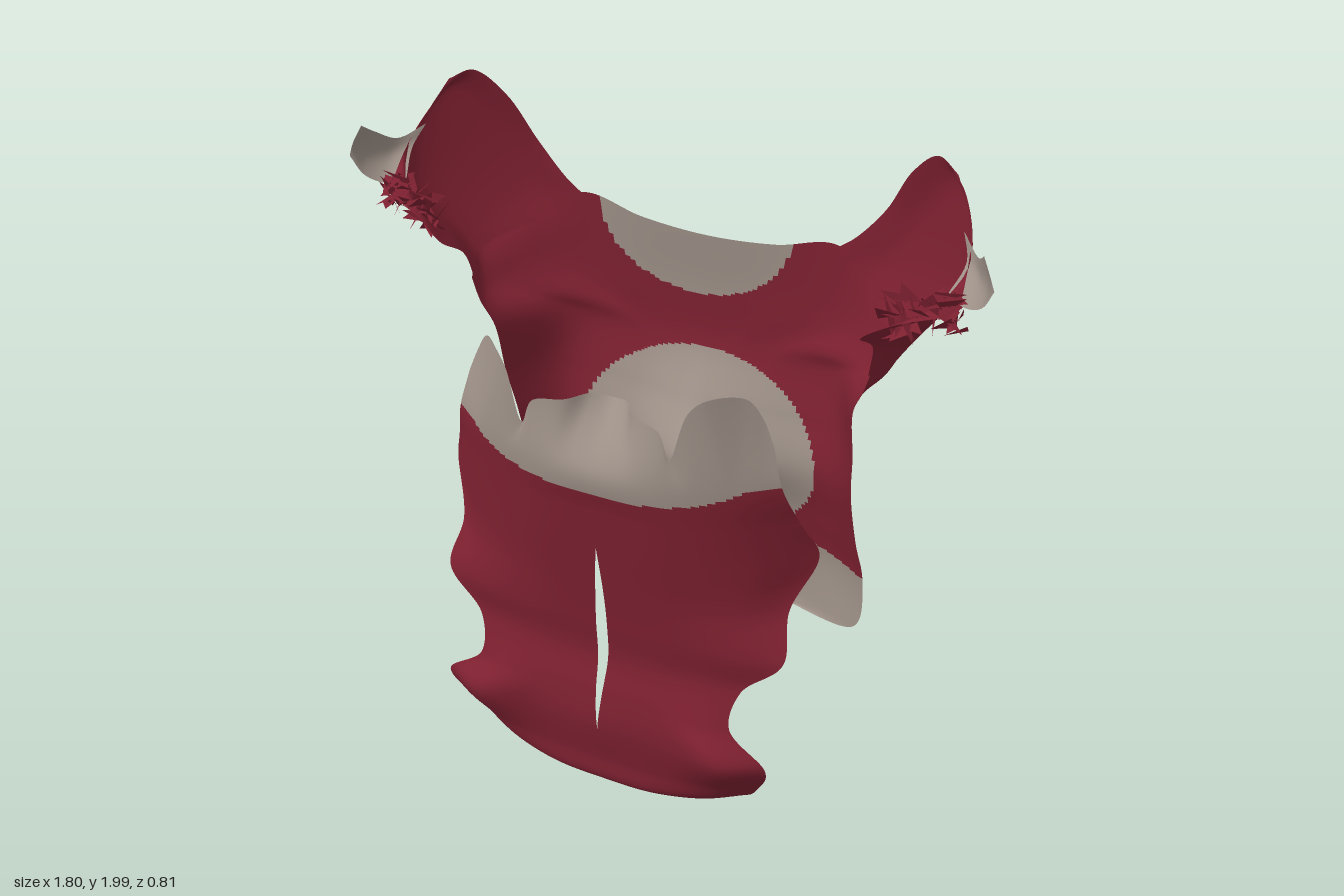
import * as THREE from 'three';

const cloth = new THREE.MeshStandardMaterial({ color: 0x7d2030, side: THREE.DoubleSide });
cloth.name = 'dark red';
const lining = new THREE.MeshStandardMaterial({ color: 0x9d9087, side: THREE.DoubleSide });
lining.name = 'warm grey';
const mats = [cloth, lining];

const curve = (pts) => new THREE.CatmullRomCurve3(pts);
const vec = ([x, y, z]) => new THREE.Vector3(x, y, z);

// Smooth open sheet through rows of points; paint(x, y) picks the material of each cell.
function sheet(name, rows, { side, nu, nv, mirrored = false, slit = () => 0, paint = () => 0 }) {
  const curves = rows.map((row) => {
    const pts = row.map(vec);
    if (!mirrored) return curve(pts);
    const other = row.slice(1).reverse().map(([x, y, z]) => vec([-x, y, z]));
    return curve([...other, ...pts]);
  });
  const pos = [];
  for (let i = 0; i <= nu; i++) {
    const u = i / nu;
    const column = curve(curves.map((c) => c.getPoint(mirrored ? 0.5 + u / 2 : u)));
    for (let j = 0; j <= nv; j++) {
      const p = column.getPoint(j / nv);
      pos.push(side * (p.x + slit(p.y) * (1 - u)), p.y, p.z);
    }
  }
  const faces = [[], []];
  for (let i = 0; i < nu; i++) {
    for (let j = 0; j < nv; j++) {
      const a = i * (nv + 1) + j, b = a + nv + 1;
      const quad = side > 0 ? [a, b, b + 1, a, b + 1, a + 1] : [a, b + 1, b, a, a + 1, b + 1];
      const x = (pos[3 * a] + pos[3 * b + 3]) / 2, y = (pos[3 * a + 1] + pos[3 * b + 4]) / 2;
      faces[paint(x, y)].push(...quad);
    }
  }
  const geo = new THREE.BufferGeometry();
  geo.setAttribute('position', new THREE.Float32BufferAttribute(pos, 3));
  geo.setIndex(faces.flat());
  geo.addGroup(0, faces[0].length, 0);
  geo.addGroup(faces[0].length, faces[1].length, 1);
  geo.computeVertexNormals();
  const mesh = new THREE.Mesh(geo, mats);
  mesh.name = name;
  return mesh;
}

// Front panel profile: height, half width, depth at centre, depth at edge, bulge between them
const frontProfile = [
  [0.01, 0.06, 0.14, 0.15],
  [0.06, 0.13, 0.15, 0.135],
  [0.09, 0.22, 0.2, 0.15],
  [0.16, 0.4, 0.355, 0.24],
  [0.25, 0.46, 0.365, 0.29, 0.01],
  [0.39, 0.5, 0.38, 0.35, 0.04],
  [0.49, 0.39, 0.365, 0.345, 0.01],
  [0.6, 0.405, 0.335, 0.31],
  [0.72, 0.515, 0.34, 0.285],
  [0.85, 0.5, 0.35, 0.22],
  [1, 0.55, 0.365, 0.15],
  [1.12, 0.51, 0.375, 0.195],
  [1.25, 0.47, 0.385, 0.24],
];
// Pleated collar edge, centre to side
const collarEdge = [
  [0, 1.4, 0.25], [0.05, 1.41, 0.27], [0.1, 1.41, 0.33], [0.18, 1.4, 0.355], [0.21, 1.33, 0.36],
  [0.255, 1.47, 0.35], [0.29, 1.505, 0.33], [0.37, 1.49, 0.25], [0.41, 1.43, 0.23], [0.44, 1.36, 0.23],
];
const frontRows = frontProfile.map(([y, w, zc, ze, bulge = 0]) =>
  [0, 0.4, 0.75, 1].map((s, i) => [w * s, y, zc + (ze - zc) * s ** 3 + (i === 2 ? bulge : 0)]));
frontRows.push(collarEdge);

// Back panel profile: height, rise towards the edge, half width, then depths from centre to edge
const backSteps = [0, 0.13, 0.38, 0.77, 1];
const backProfile = [
  [0.26, 0.04, 0.09, -0.4, -0.4, -0.4, -0.4, -0.4],
  [0.38, 0.02, 0.18, -0.4, -0.4, -0.395, -0.385, -0.37],
  [0.475, -0.005, 0.53, -0.385, -0.38, -0.37, -0.3, -0.25],
  [0.62, 0.03, 0.55, -0.355, -0.355, -0.35, -0.3, -0.24],
  [0.8, 0, 0.53, -0.27, -0.28, -0.305, -0.275, -0.21],
  [0.95, 0.05, 0.525, -0.15, -0.18, -0.245, -0.24, -0.15],
  [1.11, 0.04, 0.535, -0.255, -0.265, -0.285, -0.26, -0.11],
  [1.25, 0.07, 0.54, -0.33, -0.33, -0.325, -0.28, -0.07],
];
const backRows = backProfile.map(([y, rise, w, ...depths]) =>
  depths.map((z, i) => [w * backSteps[i], y + rise * backSteps[i] ** 2, z]));
// Chest line and neckline of the back
backRows.push(
  [[0, 1.42, -0.34], [0.2, 1.42, -0.335], [0.43, 1.43, -0.3], [0.59, 1.41, -0.16], [0.57, 1.4, -0.05]],
  [[0, 1.6, -0.33], [0.2, 1.615, -0.33], [0.38, 1.655, -0.325], [0.5, 1.58, -0.3], [0.635, 1.49, -0.17], [0.59, 1.47, -0.045]],
);

// Strap sections, neckline to front edge
const strapRows = [
  [[0.375, 1.645, -0.324], [0.49, 1.57, -0.3], [0.63, 1.475, -0.17], [0.58, 1.45, -0.05]],
  [[0.43, 1.69, -0.32], [0.54, 1.64, -0.3], [0.68, 1.55, -0.15], [0.595, 1.55, -0.025]],
  [[0.51, 1.79, -0.31], [0.61, 1.75, -0.28], [0.745, 1.65, -0.12], [0.6, 1.64, 0.09]],
  [[0.585, 1.93, -0.27], [0.67, 1.87, -0.25], [0.785, 1.73, -0.1], [0.68, 1.68, 0.06]],
  [[0.66, 2, -0.23], [0.73, 1.94, -0.21], [0.8, 1.81, -0.1], [0.76, 1.7, 0.03]],
  [[0.72, 1.975, -0.2], [0.775, 1.88, -0.16], [0.8, 1.8, -0.08], [0.81, 1.71, 0]],
];
// Upturned hook at the shoulder tip
const hookRows = [
  [[0.765, 1.86, -0.14], [0.79, 1.8, -0.1], [0.77, 1.74, -0.03]],
  [[0.82, 1.83, -0.08], [0.84, 1.78, -0.05], [0.82, 1.725, -0.01]],
  [[0.85, 1.865, -0.02], [0.875, 1.8, 0], [0.87, 1.75, 0.02]],
  [[0.86, 1.9, 0.03], [0.885, 1.85, 0.04], [0.9, 1.81, 0.04]],
];

// Lining regions
function paintFront(x, y) {
  const ax = Math.abs(x);
  return y > 1.18 + Math.min(0.07, 1.1 * ax ** 3) || (y < 0.085 && ax < 0.15) ? 1 : 0;
}
const inside = (x, y, cx, cy, rx, ry) => Math.hypot((x - cx) / rx, (y - cy) / ry) < 1;
function paintBack(x, y) {
  const ax = Math.abs(x);
  if (y < 0.33 || inside(ax, y, 0.08, 0.43, 0.018, 0.04)) return 0;
  if (y < 0.74 - 0.15 * ax || (y < 0.85 && ax < 0.31)) return 1;
  return inside(x, y, 0.01, 0.96, 0.37, 0.29) || inside(x, y, -0.04, 1.65, 0.29, 0.24) ? 1 : 0;
}
const frontSlit = (y) => (y > 0.37 && y < 1 ? 0.017 * Math.sin((Math.PI * (y - 0.37)) / 0.63) : 0);

// Ragged torn scraps under each shoulder
function scraps(side) {
  let seed = 7;
  const rnd = () => (seed = (seed * 16807) % 2147483647) / 2147483647;
  const pos = [];
  for (let i = 0; i < 60; i++) {
    const t = rnd();
    const c = [0.64 + 0.17 * t, 1.68 + 0.04 * t + 0.07 * (rnd() - 0.5), 0.04 - 0.05 * t + 0.06 * (rnd() - 0.5)];
    for (let k = 0; k < 3; k++) {
      const d = c.map((v) => v + (rnd() - 0.5) * 0.09);
      pos.push(side * d[0], d[1], d[2]);
    }
  }
  const geo = new THREE.BufferGeometry();
  geo.setAttribute('position', new THREE.Float32BufferAttribute(pos, 3));
  geo.computeVertexNormals();
  const mesh = new THREE.Mesh(geo, cloth);
  mesh.name = 'tornScraps';
  return mesh;
}

export function createModel() {
  const model = new THREE.Group();
  model.name = 'garment';
  for (const side of [1, -1]) {
    const half = new THREE.Group();
    half.name = side > 0 ? 'leftHalf' : 'rightHalf';
    half.add(
      sheet('frontPanel', frontRows, { side, nu: 70, nv: 220, mirrored: true, slit: frontSlit, paint: paintFront }),
      sheet('backPanel', backRows, { side, nu: 70, nv: 220, mirrored: true, paint: paintBack }),
      sheet('shoulderStrap', strapRows, { side, nu: 20, nv: 40 }),
      sheet('shoulderHook', hookRows, { side, nu: 10, nv: 20, paint: () => 1 }),
      scraps(side),
    );
    model.add(half);
  }
  return model;
}
